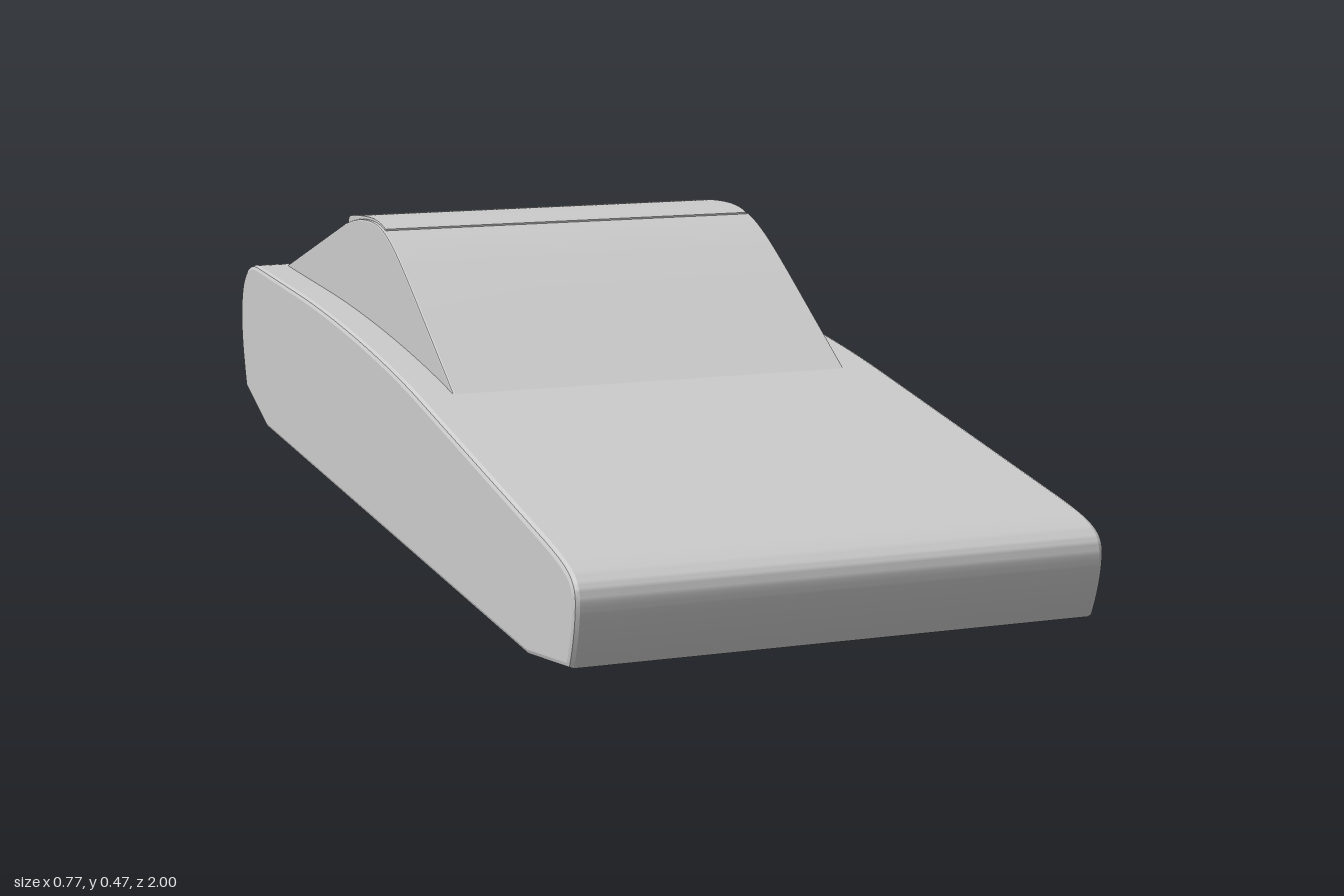
import * as THREE from 'three';
import { toCreasedNormals } from 'three/addons/utils/BufferGeometryUtils.js';

const material = new THREE.MeshStandardMaterial({ color: 0xcccccc });

// Extrudes a side profile (drawn as z, y) across the width, with softened side edges
function slab(name, shape, width, bevel) {
  const geometry = new THREE.ExtrudeGeometry(shape, {
    depth: width - 2 * bevel,
    curveSegments: 20,
    bevelEnabled: bevel > 0,
    bevelThickness: bevel,
    bevelSize: bevel,
    bevelOffset: -bevel,
    bevelSegments: 2,
  });
  geometry.translate(0, 0, -(width - 2 * bevel) / 2);
  geometry.rotateY(-Math.PI / 2);
  const mesh = new THREE.Mesh(toCreasedNormals(geometry, 0.38), material);
  mesh.name = name;
  return mesh;
}

export function createModel() {
  const group = new THREE.Group();
  group.name = 'car';

  // Wedge body: flat floor, rising nose, rounded tail
  const body = new THREE.Shape();
  body.moveTo(-0.8, 0);
  body.lineTo(0.8, 0);
  body.lineTo(0.975, 0.03);
  body.quadraticCurveTo(1.0, 0.085, 1.0, 0.125);
  body.bezierCurveTo(1.0, 0.16, 0.96, 0.168, 0.87, 0.18);
  body.lineTo(0.25, 0.256);
  body.bezierCurveTo(0.05, 0.28, -0.25, 0.296, -0.5, 0.297);
  body.lineTo(-0.85, 0.297);
  body.bezierCurveTo(-0.95, 0.297, -1.0, 0.25, -1.0, 0.165);
  body.quadraticCurveTo(-1.0, 0.12, -0.968, 0.045);
  body.closePath();
  group.add(slab('body', body, 0.77, 0.008));

  // Cabin: sloping windscreen, curved roof, long rear slope
  const cabin = new THREE.Shape();
  cabin.moveTo(-0.85, 0.22);
  cabin.lineTo(0.255, 0.22);
  cabin.lineTo(0.255, 0.255);
  cabin.lineTo(0.03, 0.377);
  cabin.bezierCurveTo(-0.07, 0.43, -0.13, 0.46, -0.21, 0.461);
  cabin.bezierCurveTo(-0.28, 0.461, -0.34, 0.45, -0.4, 0.435);
  cabin.lineTo(-0.85, 0.297);
  cabin.closePath();
  group.add(slab('cabin', cabin, 0.652, 0.003));

  // Thin roof panel lying on top of the cabin
  const roof = new THREE.Shape();
  roof.moveTo(-0.4, 0.43);
  roof.lineTo(-0.15, 0.445);
  roof.lineTo(-0.15, 0.457);
  roof.quadraticCurveTo(-0.175, 0.465, -0.22, 0.465);
  roof.quadraticCurveTo(-0.29, 0.464, -0.375, 0.452);
  roof.quadraticCurveTo(-0.395, 0.45, -0.4, 0.44);
  roof.closePath();
  group.add(slab('roofPanel', roof, 0.642, 0.002));

  return group;
}
